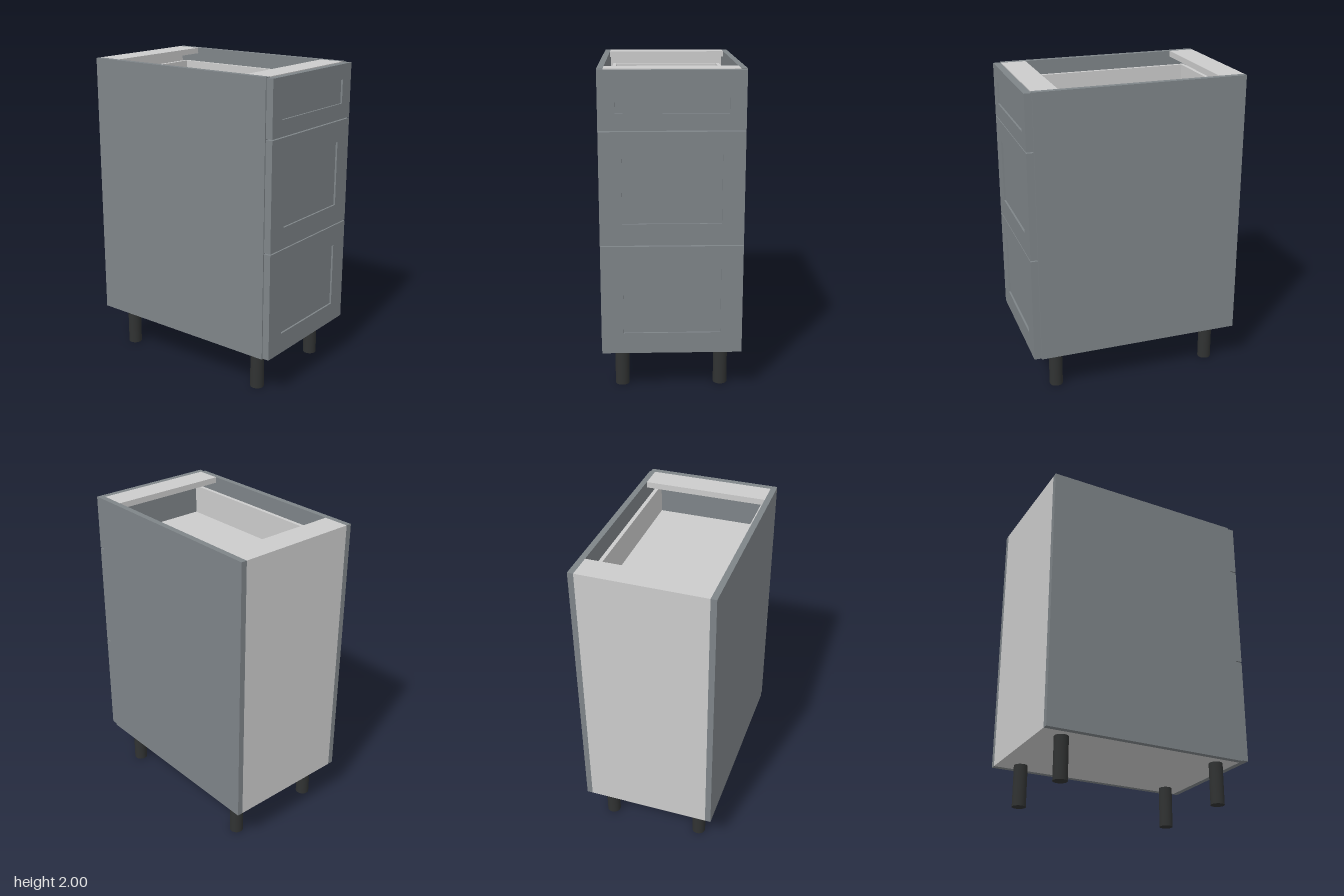
import * as THREE from 'three';

const plain = new THREE.MeshStandardMaterial({ color: 0xcccccc });
const painted = new THREE.MeshStandardMaterial({ color: 0x7e8488 });
const dark = new THREE.MeshStandardMaterial({ color: 0x303232 });

// Box given by its minimum and maximum on each axis
function box(name, material, [x0, x1], [y0, y1], [z0, z1]) {
  const mesh = new THREE.Mesh(new THREE.BoxGeometry(x1 - x0, y1 - y0, z1 - z0), material);
  mesh.position.set((x0 + x1) / 2, (y0 + y1) / 2, (z0 + z1) / 2);
  mesh.name = name;
  return mesh;
}

const outline = (target, w, y0, y1) => {
  target.moveTo(-w, y0);
  target.lineTo(w, y0);
  target.lineTo(w, y1);
  target.lineTo(-w, y1);
  target.closePath();
  return target;
};

// Drawer: framed front with a recessed panel, and an open box behind it
function createDrawer({ name, y, panelW, panelY, boxTop }) {
  const drawer = new THREE.Group();
  drawer.name = name;

  const shape = outline(new THREE.Shape(), 0.427, y[0], y[1]);
  shape.holes.push(outline(new THREE.Path(), panelW, panelY[0], panelY[1]));
  const frame = new THREE.Mesh(
    new THREE.ExtrudeGeometry(shape, { depth: 0.045, bevelEnabled: false }), painted);
  frame.position.z = 0.647;
  frame.name = 'frontFrame';
  drawer.add(frame);
  drawer.add(box('frontPanel', painted, [-panelW, panelW], panelY, [0.647, 0.68]));

  const bottom = y[0] + 0.05;
  for (const s of [-1, 1]) {
    const xs = s < 0 ? [-0.376, -0.351] : [0.351, 0.376];
    drawer.add(box(s < 0 ? 'rightSide' : 'leftSide', plain, xs, [bottom, boxTop], [-0.62, 0.647]));
  }
  drawer.add(box('drawerBack', plain, [-0.351, 0.351], [bottom, boxTop], [-0.62, -0.595]));
  drawer.add(box('drawerFloor', plain, [-0.351, 0.351], [bottom, bottom + 0.02], [-0.595, 0.647]));
  return drawer;
}

export function createModel() {
  const model = new THREE.Group();
  model.name = 'drawerCabinet';

  // Carcass
  model.add(box('leftPanel', painted, [0.395, 0.432], [0.268, 2], [-0.692, 0.645]));
  model.add(box('rightPanel', painted, [-0.432, -0.395], [0.268, 2], [-0.692, 0.645]));
  model.add(box('bottomPanel', plain, [-0.395, 0.395], [0.268, 0.306], [-0.67, 0.645]));
  model.add(box('backPanel', plain, [-0.395, 0.395], [0.268, 1.962], [-0.692, -0.67]));
  model.add(box('backRail', plain, [-0.395, 0.395], [1.962, 2], [-0.692, -0.525]));
  model.add(box('frontRail', plain, [-0.395, 0.395], [1.962, 2], [0.485, 0.645]));

  // Drawers
  const drawers = [
    { name: 'bottomDrawer', y: [0.274, 0.956], panelW: 0.295, panelY: [0.405, 0.82], boxTop: 0.72 },
    { name: 'middleDrawer', y: [0.963, 1.644], panelW: 0.295, panelY: [1.095, 1.51], boxTop: 1.41 },
    { name: 'topDrawer', y: [1.651, 1.996], panelW: 0.33, panelY: [1.75, 1.9], boxTop: 1.91 },
  ];
  drawers.forEach((d) => model.add(createDrawer(d)));

  // Legs
  const legGeometry = new THREE.CylinderGeometry(0.044, 0.044, 0.268, 32);
  for (const x of [-0.31, 0.31]) {
    for (const z of [-0.543, 0.525]) {
      const leg = new THREE.Mesh(legGeometry, dark);
      leg.position.set(x, 0.134, z);
      leg.name = (z > 0 ? 'front' : 'back') + (x > 0 ? 'Left' : 'Right') + 'Leg';
      model.add(leg);
    }
  }
  return model;
}
